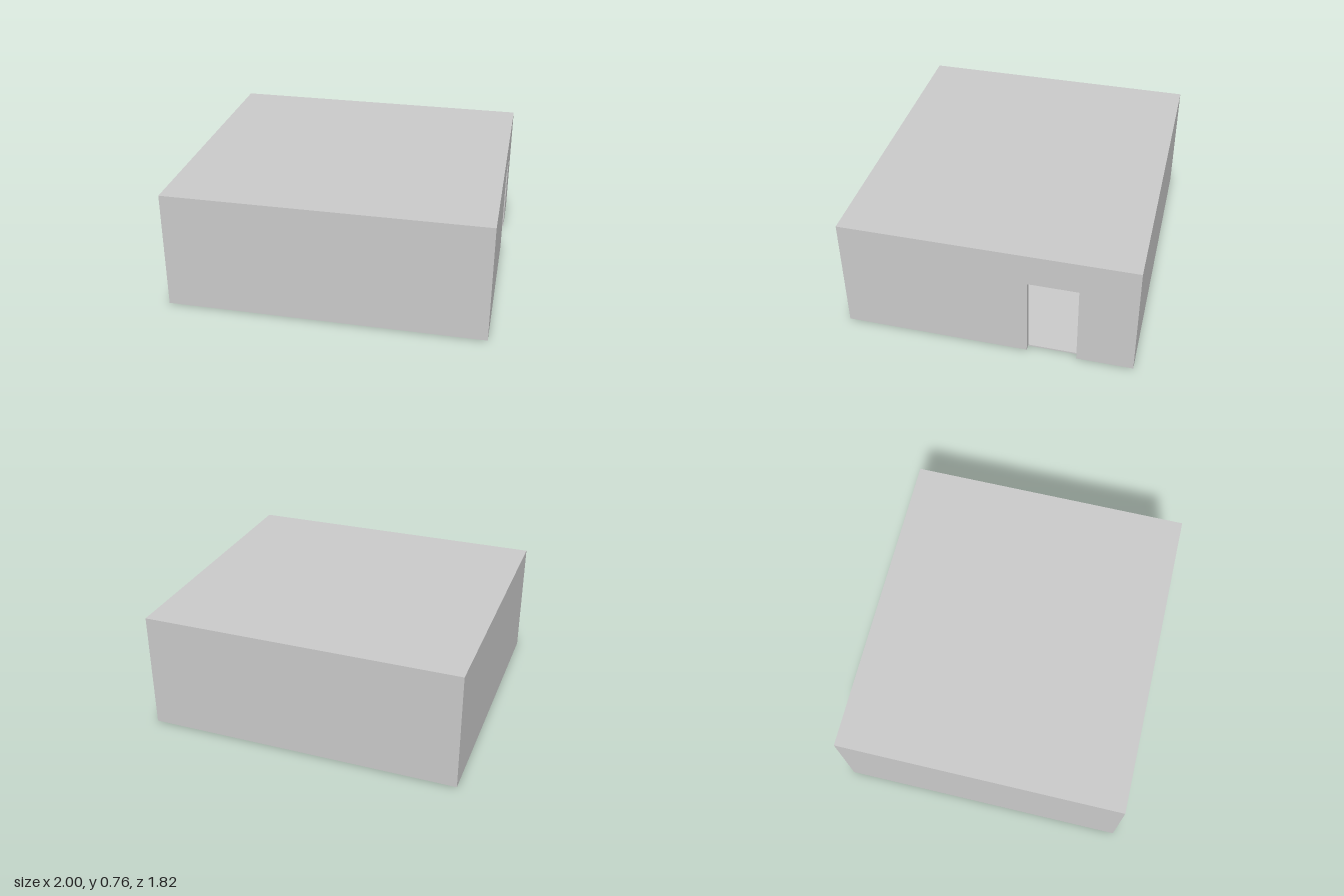
import * as THREE from 'three';

const W = 2, H = 0.76, D = 1.82; // outer size
const T = 0.04;                  // wall and roof thickness
const BASE = 0.005;              // walls start just above the floor's underside
const DOOR = { z0: -0.56, z1: -0.25, top: 0.55 };

export function createModel() {
  const group = new THREE.Group();
  const material = new THREE.MeshStandardMaterial({ color: 0xcccccc, flatShading: true });

  const add = (name, geometry, x, y, z) => {
    const mesh = new THREE.Mesh(geometry, material);
    mesh.name = name;
    mesh.position.set(x, y, z);
    group.add(mesh);
    return mesh;
  };

  const wallH = H - T - BASE;
  const wallY = BASE + wallH / 2;

  // Floor slab, set between the walls
  add('floor', new THREE.BoxGeometry(W - 2 * T, 0.01, D - 2 * T), 0, 0.005, 0);

  // Flat roof over the whole room
  add('roof', new THREE.BoxGeometry(W, T, D), 0, H - T / 2, 0);

  // Front and back walls
  for (const [name, side] of [['frontWall', 1], ['backWall', -1]]) {
    add(name, new THREE.BoxGeometry(W, wallH, T), 0, wallY, side * (D - T) / 2);
  }

  // Plain left-hand and doorway walls fit between the front and back walls
  add('plainWall', new THREE.BoxGeometry(T, wallH, D - 2 * T), -(W - T) / 2, wallY, 0);

  // Doorway wall: outline drawn in (-z, y), notched for the door, extruded along +x
  const h = D / 2 - T;
  const outline = new THREE.Shape([
    [-h, BASE], [-DOOR.z1, BASE], [-DOOR.z1, DOOR.top], [-DOOR.z0, DOOR.top],
    [-DOOR.z0, BASE], [h, BASE], [h, H - T], [-h, H - T],
  ].map(([u, v]) => new THREE.Vector2(u, v)));
  const doorWall = new THREE.ExtrudeGeometry(outline, { depth: T, bevelEnabled: false });
  doorWall.rotateY(Math.PI / 2);
  add('doorwayWall', doorWall, W / 2 - T, 0, 0);

  return group;
}
